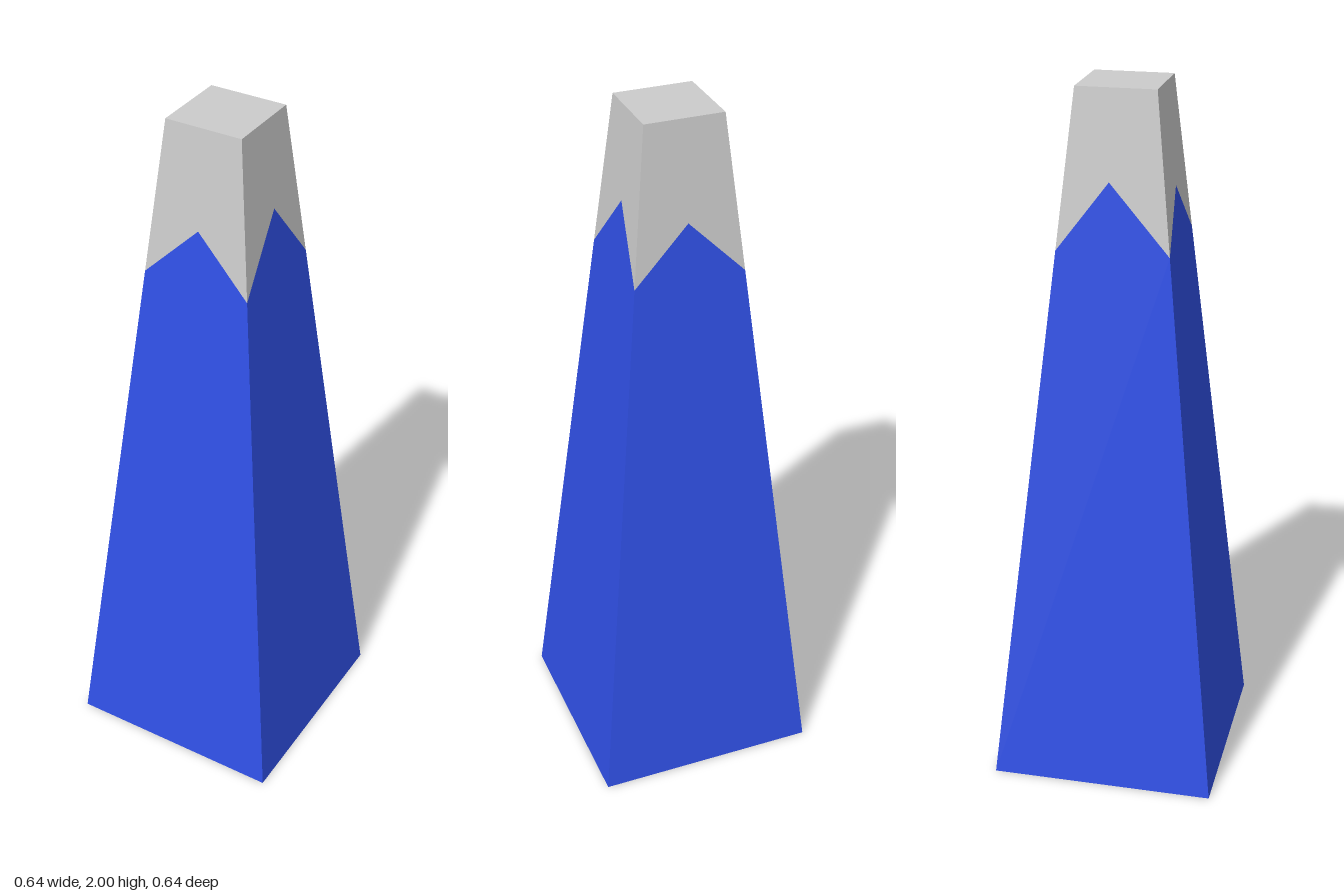
import * as THREE from 'three';
import { mergeGeometries } from 'three/addons/utils/BufferGeometryUtils.js';

const HEIGHT = 2, BASE = 0.32, TOP = 0.111, CORNER_Y = 1.565;
const half = (y) => BASE + (TOP - BASE) * y / HEIGHT;

// Peak of the colour border on each side: turn about y, offset along the side, height
const SIDES = [
  { turn: 0, u: 0, y: 1.722 },
  { turn: Math.PI / 2, u: 0.013, y: 1.755 },
  { turn: Math.PI, u: 0, y: 1.722 },
  { turn: -Math.PI / 2, u: -0.013, y: 1.755 },
];

// Lay a flat outline onto one sloping side of the tapered tower
function sidePanel(points, turn) {
  const shape = new THREE.Shape(points.map(([x, y]) => new THREE.Vector2(x, y)));
  const geo = new THREE.ShapeGeometry(shape);
  const pos = geo.attributes.position;
  for (let i = 0; i < pos.count; i++) pos.setZ(i, half(pos.getY(i)));
  geo.computeVertexNormals();
  return geo.rotateY(turn);
}

// Horizontal square closing one end, facing up (1) or down (-1)
function endPlate(halfSize, y, facing) {
  return new THREE.PlaneGeometry(2 * halfSize, 2 * halfSize)
    .rotateX(-facing * Math.PI / 2).translate(0, y, 0);
}

function part(name, geometries, color) {
  const material = new THREE.MeshStandardMaterial({ color, flatShading: true });
  const mesh = new THREE.Mesh(mergeGeometries(geometries), material);
  mesh.name = name;
  return mesh;
}

export function createModel() {
  const group = new THREE.Group();
  group.name = 'taperedTower';
  const c = half(CORNER_Y);

  // Blue body with a pointed upper edge on every side
  const body = SIDES.map(({ turn, u, y }) => sidePanel(
    [[-BASE, 0], [BASE, 0], [c, CORNER_Y], [u, y], [-c, CORNER_Y]], turn));
  body.push(endPlate(BASE, 0, -1));
  group.add(part('body', body, 0x3050e6));

  // Grey tip filling the remainder up to the flat top
  const tip = SIDES.map(({ turn, u, y }) => sidePanel(
    [[-c, CORNER_Y], [u, y], [c, CORNER_Y], [TOP, HEIGHT], [-TOP, HEIGHT]], turn));
  tip.push(endPlate(TOP, HEIGHT, 1));
  group.add(part('tip', tip, 0xcccccc));

  return group;
}
